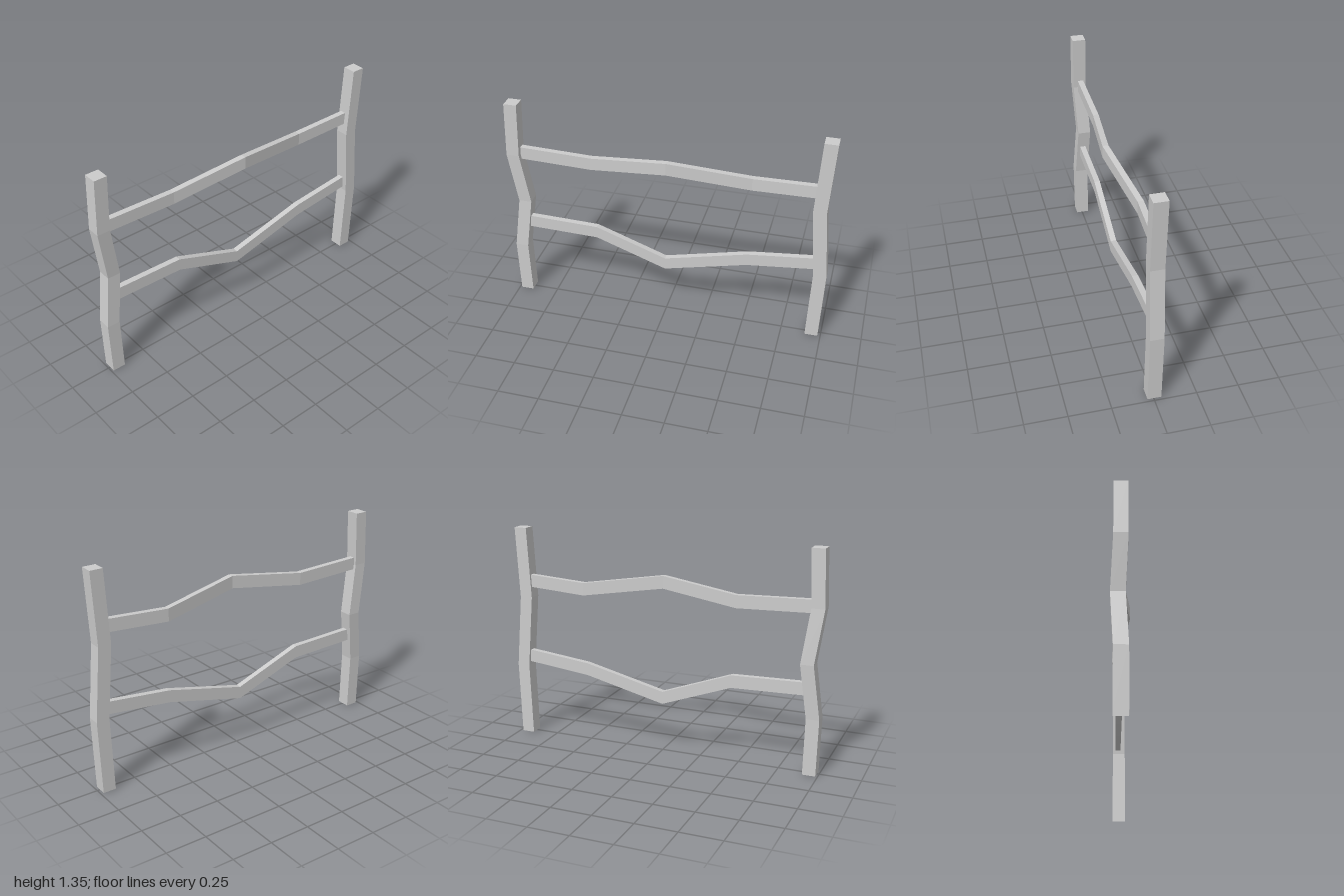
import * as THREE from 'three';

const material = new THREE.MeshStandardMaterial({ color: 0xcccccc, flatShading: true, side: THREE.DoubleSide });

// Bends a segmented box so its cross-sections follow the given centre points.
function bentBeam(name, axis, points, width, depth) {
  const n = points.length - 1;
  const upright = axis === 'y';
  const geometry = upright
    ? new THREE.BoxGeometry(width, n, depth, 1, n, 1)
    : new THREE.BoxGeometry(n, width, depth, n, 1, 1);
  const pos = geometry.attributes.position;
  for (let i = 0; i < pos.count; i++) {
    const along = upright ? pos.getY(i) : pos.getX(i);
    const [x, y, z] = points[Math.round(along + n / 2)];
    pos.setXYZ(i, upright ? pos.getX(i) + x : x, upright ? y : pos.getY(i) + y, pos.getZ(i) + z);
  }
  // Posts have no underside where they meet the ground
  if (upright) {
    const base = geometry.groups[3];
    const index = Array.from(geometry.index.array);
    index.splice(base.start, base.count);
    geometry.setIndex(index);
  }
  geometry.clearGroups();
  geometry.computeVertexNormals();
  const mesh = new THREE.Mesh(geometry, material);
  mesh.name = name;
  return mesh;
}

export function createModel() {
  const fence = new THREE.Group();
  fence.name = 'fence';

  // Crooked upright posts
  fence.add(bentBeam('rightPost', 'y', [
    [-0.947, 0, -0.004], [-0.955, 0.35, -0.004], [-0.912, 0.68, -0.02],
    [-0.959, 1.01, -0.004], [-0.946, 1.353, -0.004],
  ], 0.08, 0.082));
  fence.add(bentBeam('leftPost', 'y', [
    [0.942, 0, -0.004], [0.957, 0.46, -0.004], [0.919, 0.91, -0.004], [0.943, 1.353, -0.004],
  ], 0.08, 0.082));

  // Wavy rails, ending inside the posts
  fence.add(bentBeam('upperRail', 'x', [
    [-0.93, 1.018, -0.01], [-0.47, 1.004, -0.01], [0.01, 1.068, 0.043],
    [0.51, 0.998, -0.034], [0.91, 1.018, -0.012],
  ], 0.078, 0.036));
  fence.add(bentBeam('lowerRail', 'x', [
    [-0.92, 0.526, -0.01], [-0.45, 0.514, -0.01], [-0.008, 0.353, -0.01],
    [0.505, 0.477, -0.01], [0.93, 0.524, -0.01],
  ], 0.078, 0.036));

  return fence;
}
